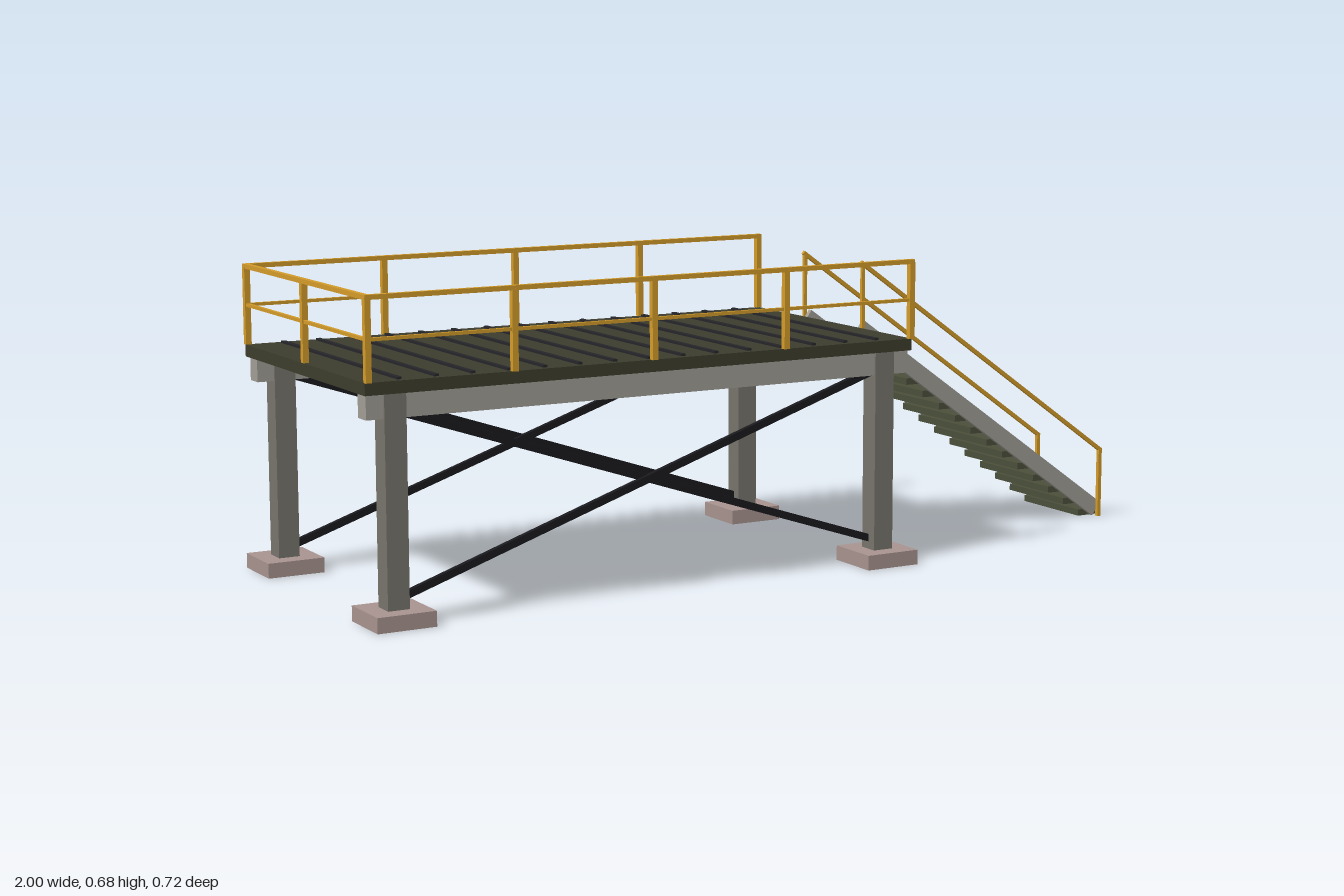
import * as THREE from 'three';

const mat = (color) => new THREE.MeshStandardMaterial({ color });

export function createModel() {
  const model = new THREE.Group();
  model.name = 'raisedPlatform';
  const deckMat = mat(0x3c3d2d), seamMat = mat(0x26262a), treadMat = mat(0x4a4f3a);
  const columnMat = mat(0x77746b), beamMat = mat(0xa19d95), footMat = mat(0xa8938f);
  const braceMat = mat(0x1a1a1e), railMat = mat(0xd39b2a);

  // Box given by its minimum and maximum corners
  function box(name, m, x0, x1, y0, y1, z0, z1) {
    const mesh = new THREE.Mesh(new THREE.BoxGeometry(x1 - x0, y1 - y0, z1 - z0), m);
    mesh.position.set((x0 + x1) / 2, (y0 + y1) / 2, (z0 + z1) / 2);
    mesh.name = name;
    model.add(mesh);
  }
  // Sloping bar in a plane of constant z
  function bar(name, m, x0, y0, x1, y1, z, height, depth) {
    const mesh = new THREE.Mesh(new THREE.BoxGeometry(Math.hypot(x1 - x0, y1 - y0), height, depth), m);
    mesh.position.set((x0 + x1) / 2, (y0 + y1) / 2, z);
    mesh.rotation.z = Math.atan2(y1 - y0, x1 - x0);
    mesh.name = name;
    model.add(mesh);
  }
  const post = (name, x, z, y0, y1, w) =>
    box(name, railMat, x - w / 2, x + w / 2, y0, y1, z - w / 2, z + w / 2);

  const left = -0.998, right = 0.304, deckTop = 0.502;

  // Deck with raised cross strips
  box('deck', deckMat, left, right, 0.476, deckTop, -0.325, 0.325);
  const pitch = (right - left) / 16;
  for (let i = 1; i < 16; i++) {
    const x = left + i * pitch;
    box('deckStrip', seamMat, x - 0.005, x + 0.005, deckTop, 0.507, -0.31, 0.31);
  }

  const railX = [-0.992, -0.669, -0.345, -0.022, 0.301];
  for (const s of [-1, 1]) {
    // Footings, columns, beam and cross bracing
    const z = s * 0.294;
    for (const x of [-0.93, 0.239]) {
      box('footing', footMat, x - 0.065, x + 0.065, 0, 0.033, z - 0.065, z + 0.065);
      box('column', columnMat, x - 0.024, x + 0.024, 0.033, 0.476, z - 0.024, z + 0.024);
    }
    box('beam', beamMat, -0.992, 0.301, 0.425, 0.476, z - 0.02, z + 0.02);
    bar('brace', braceMat, -0.915, 0.435, 0.224, 0.055, z - 0.004, 0.016, 0.012);
    bar('brace', braceMat, -0.915, 0.055, 0.224, 0.435, z + 0.004, 0.016, 0.012);

    // Side guard rail
    const rz = s * 0.326;
    for (const x of railX) post('railPost', x, rz, deckTop, 0.672, 0.013);
    box('topRail', railMat, left, 0.307, 0.668, 0.678, rz - 0.006, rz + 0.006);
    box('midRail', railMat, left, 0.307, 0.585, 0.592, rz - 0.004, rz + 0.004);

    // Stair stringer, handrail and its posts
    bar('stringer', beamMat, 0.305, 0.502, 0.987, 0.017, s * 0.113, 0.038, 0.012);
    bar('handrail', railMat, 0.302, 0.652, 0.993, 0.161, s * 0.123, 0.009, 0.008);
    post('handrailPost', 0.307, s * 0.123, 0.476, 0.65, 0.008);
    post('handrailPost', 0.99, s * 0.123, 0, 0.163, 0.009);
  }

  // Guard rail across the closed end
  post('railPost', -0.992, 0, deckTop, 0.672, 0.013);
  box('endTopRail', railMat, left, left + 0.012, 0.668, 0.678, -0.332, 0.332);
  box('endMidRail', railMat, -0.996, -0.988, 0.585, 0.592, -0.326, 0.326);

  // Stair treads
  for (let i = 0; i < 15; i++) {
    const x = 0.328 + i * 0.0457, y = 0.472 - i * 0.0325;
    box('tread', treadMat, x - 0.026, x + 0.026, y - 0.015, y, -0.108, 0.108);
  }
  return model;
}
